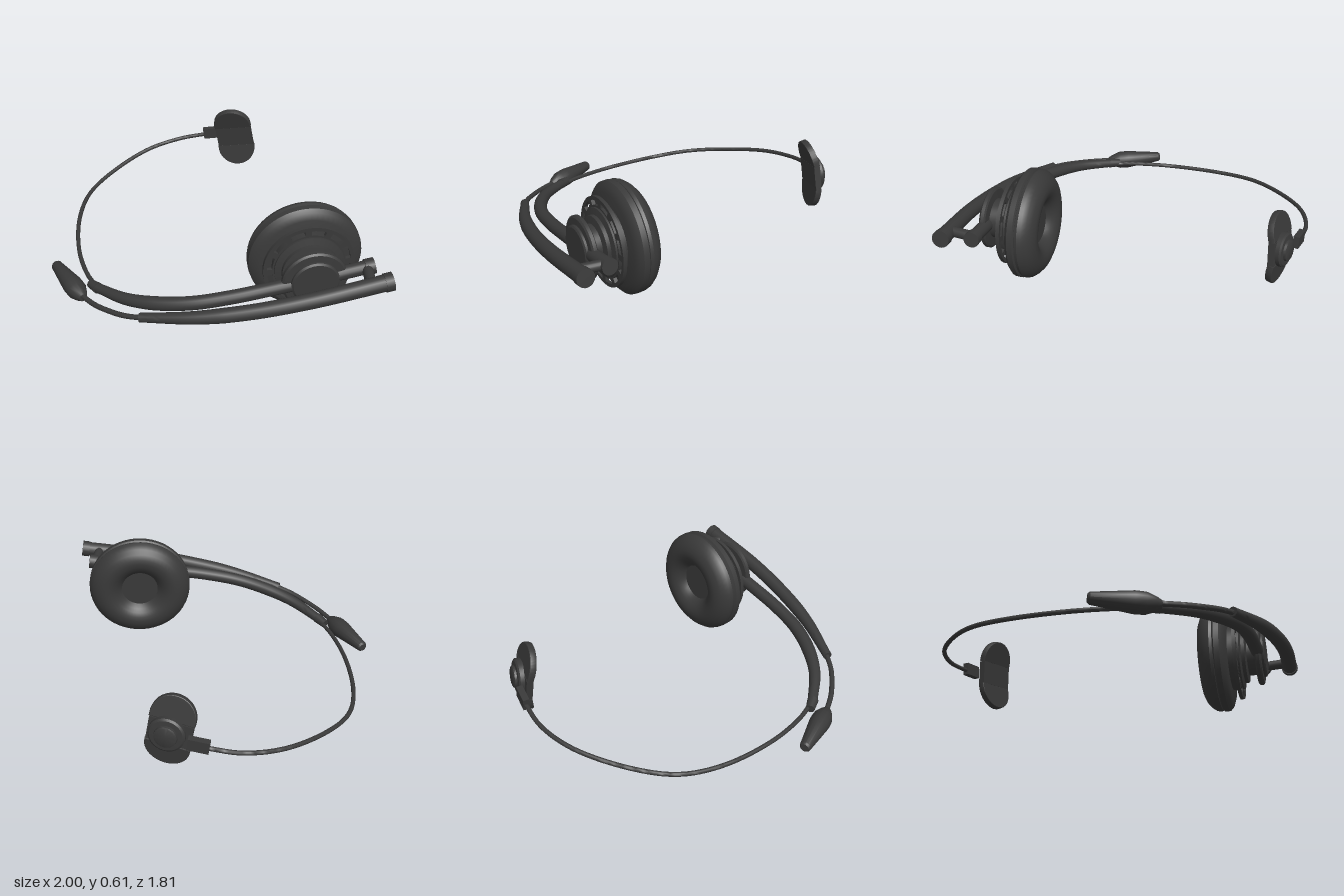
import * as THREE from 'three';
import { toCreasedNormals } from 'three/addons/utils/BufferGeometryUtils.js';

const plastic = new THREE.MeshStandardMaterial({ color: 0x393939 });
plastic.name = 'dark grey plastic';

const V = (x, y, z) => new THREE.Vector3(x, y, z);
const UP = V(0, 1, 0);

function add(parent, name, geometry) {
  const mesh = new THREE.Mesh(geometry, plastic);
  mesh.name = name;
  parent.add(mesh);
  return mesh;
}

// Tube through points with a radius that varies along its length and closed ends
function taperedTube(points, radiusAt, segments = 64, sides = 16) {
  const curve = new THREE.CatmullRomCurve3(points.map((p) => V(...p)), false, 'centripetal');
  const geo = new THREE.TubeGeometry(curve, segments, 1, sides, false);
  const pos = geo.attributes.position;
  const v = V(0, 0, 0);
  for (let i = 0; i <= segments; i++) {
    const centre = curve.getPointAt(i / segments);
    const capEnd = i === 0 || i === segments;
    const nextToEnd = i === 1 ? 0 : i === segments - 1 ? 1 : -1;
    const place = nextToEnd >= 0 ? curve.getPointAt(nextToEnd) : centre;
    const r = capEnd ? 0 : radiusAt(i / segments);
    for (let j = 0; j <= sides; j++) {
      const k = i * (sides + 1) + j;
      v.fromBufferAttribute(pos, k).sub(centre).multiplyScalar(r).add(place);
      pos.setXYZ(k, v.x, v.y, v.z);
    }
  }
  return toCreasedNormals(geo, 0.8);
}

// Turned part from [radius, height] pairs, bottom to top
function turned(profile, sides = 56) {
  const pts = profile.map(([r, h]) => new THREE.Vector2(r, h));
  return toCreasedNormals(new THREE.LatheGeometry(pts, sides), 0.55);
}

// Straight round bar between two points
function rod(parent, name, a, b, r0, r1 = r0) {
  const from = V(...a), to = V(...b);
  const dir = to.clone().sub(from);
  const mesh = add(parent, name, new THREE.CylinderGeometry(r1, r0, dir.length(), 20));
  mesh.position.copy(from).add(to).multiplyScalar(0.5);
  mesh.quaternion.setFromUnitVectors(UP, dir.normalize());
  return mesh;
}

function buildEarpiece() {
  const g = new THREE.Group();
  g.name = 'earpiece';
  g.position.set(0.495, 0.308, 0.313);
  g.quaternion.setFromUnitVectors(UP, V(-0.477, 0, -0.879).normalize());

  // Rigid shell behind the cushion
  add(g, 'earShell', turned([
    [0, -0.035], [0.25, -0.035], [0.285, -0.022], [0.303, -0.005], [0.305, 0.025], [0.295, 0.032], [0, 0.032],
  ]));
  // Soft cushion with a dished centre
  add(g, 'earCushion', turned([
    [0.28, 0.028], [0.298, 0.034], [0.303, 0.05], [0.297, 0.07], [0.28, 0.093], [0.255, 0.114], [0.225, 0.127],
    [0.2, 0.13], [0.175, 0.126], [0.15, 0.114], [0.13, 0.097], [0.115, 0.08], [0.108, 0.07], [0, 0.07],
  ]));
  // Neck and outer hub
  add(g, 'earHub', turned([
    [0, -0.237], [0.115, -0.237], [0.125, -0.23], [0.125, -0.218], [0.16, -0.216], [0.17, -0.208], [0.17, -0.19],
    [0.16, -0.183], [0.11, -0.18], [0.11, -0.135], [0.15, -0.128], [0.15, -0.108], [0.185, -0.1], [0.185, -0.03], [0, -0.03],
  ]));

  // Vented ring with arc slots
  const ring = new THREE.Shape();
  ring.absarc(0, 0, 0.242, 0, Math.PI * 2, false);
  const bore = new THREE.Path();
  bore.absarc(0, 0, 0.17, 0, Math.PI * 2, true);
  ring.holes.push(bore);
  const slots = 12;
  for (let i = 0; i < slots; i++) {
    const a = (i / slots) * Math.PI * 2, b = a + 0.36;
    const slot = new THREE.Path();
    slot.absarc(0, 0, 0.222, a, b, false);
    slot.absarc(0, 0, 0.195, b, a, true);
    slot.closePath();
    ring.holes.push(slot);
  }
  const ringGeo = new THREE.ExtrudeGeometry(ring, { depth: 0.02, bevelEnabled: false, curveSegments: 40 });
  ringGeo.rotateX(-Math.PI / 2);
  add(g, 'ventRing', toCreasedNormals(ringGeo, 0.5)).position.y = -0.09;
  return g;
}

function buildTemplePad() {
  const g = new THREE.Group();
  g.name = 'templePad';
  g.position.set(-0.28, 0.288, -0.832);
  g.rotation.set(0.1, 0.2, 0.13);
  const w = 0.113, half = 0.07, thick = 0.036;

  add(g, 'padCentre', new THREE.BoxGeometry(w * 2, half * 2 - 0.008, thick));

  // Rounded flaps, angled toward the head
  const flap = new THREE.Shape();
  flap.moveTo(-w, 0);
  flap.lineTo(w, 0);
  flap.lineTo(w, 0.018);
  flap.absarc(0, 0.018, w, 0, Math.PI, false);
  flap.closePath();
  const flapGeo = new THREE.ExtrudeGeometry(flap, {
    depth: thick - 0.012, bevelEnabled: true, bevelSize: 0.004, bevelThickness: 0.006, bevelSegments: 2, curveSegments: 24,
  });
  flapGeo.translate(0, 0, -thick / 2 + 0.006);
  for (const side of [1, -1]) {
    const hinge = new THREE.Group();
    hinge.name = side > 0 ? 'upperFlap' : 'lowerFlap';
    hinge.rotation.z = side > 0 ? 0 : Math.PI;
    const m = add(hinge, 'flap', toCreasedNormals(flapGeo, 0.5));
    m.position.y = half;
    m.rotation.x = 0.2;
    g.add(hinge);
  }

  // Swivel button on the outside
  const button = add(g, 'padSwivel', turned([
    [0, -0.02], [0.095, -0.02], [0.095, 0.022], [0.085, 0.03], [0.06, 0.032], [0.058, 0.044], [0.05, 0.048], [0, 0.048],
  ], 36));
  button.rotation.x = -Math.PI / 2;
  button.position.set(0.01, 0, -0.018);
  return g;
}

export function createModel() {
  const model = new THREE.Group();
  model.name = 'headset';

  model.add(buildEarpiece(), buildTemplePad());

  // Thin spring band round the back of the head
  add(model, 'springBand', taperedTube([
    [-0.54, 0.11, 0.68], [-0.65, 0.104, 0.585], [-0.8, 0.1, 0.39], [-0.94, 0.107, 0.1], [-0.984, 0.126, -0.13],
    [-0.94, 0.155, -0.345], [-0.8, 0.202, -0.62], [-0.635, 0.232, -0.77], [-0.46, 0.262, -0.845],
  ], () => 0.012, 90, 10));

  // Socket joining the band to the temple pad
  const socket = add(model, 'padSocket', new THREE.BoxGeometry(0.11, 0.068, 0.034));
  socket.position.set(-0.44, 0.272, -0.848);
  socket.rotation.set(0, 0.28, 0.13);

  // Padded inner arm carrying the earpiece
  add(model, 'innerArm', taperedTube([
    [-0.54, 0.115, 0.685], [-0.34, 0.148, 0.757], [-0.155, 0.18, 0.773], [0.03, 0.212, 0.748], [0.22, 0.245, 0.676],
    [0.38, 0.272, 0.596], [0.59, 0.308, 0.485], [0.85, 0.355, 0.345],
  ], (u) => 0.026 + 0.011 * Math.min(1, u * 4)));
  rod(model, 'innerArmCollar', [-0.595, 0.107, 0.655], [-0.535, 0.116, 0.688], 0.024, 0.03);
  rod(model, 'innerArmTip', [0.82, 0.349, 0.361], [0.862, 0.357, 0.338], 0.043);

  // Outer arm and microphone boom
  add(model, 'outerArm', taperedTube([
    [-0.21, 0.153, 0.875], [0.085, 0.203, 0.837], [0.35, 0.25, 0.76], [0.62, 0.302, 0.645], [0.97, 0.366, 0.452],
  ], (u) => 0.024 + 0.012 * Math.min(1, u * 3) + 0.008 * u));
  rod(model, 'outerArmTip', [0.94, 0.36, 0.468], [0.977, 0.367, 0.448], 0.048);
  add(model, 'microphoneBoom', taperedTube([
    [-0.17, 0.158, 0.873], [-0.3, 0.134, 0.866], [-0.395, 0.118, 0.842], [-0.5, 0.102, 0.803], [-0.62, 0.088, 0.735],
  ], () => 0.014, 32, 10));

  // Peg linking the two arms
  rod(model, 'linkPeg', [0.83, 0.354, 0.36], [0.88, 0.354, 0.495], 0.028);

  // Microphone capsule
  const mic = add(model, 'microphone', turned([
    [0, 0], [0.022, 0], [0.036, 0.025], [0.054, 0.075], [0.055, 0.13], [0.05, 0.17], [0.03, 0.335], [0.022, 0.345], [0, 0.345],
  ], 14));
  mic.position.set(-0.595, 0.084, 0.752);
  mic.quaternion.setFromUnitVectors(UP, V(-0.79, 0.01, -0.61).normalize());

  return model;
}
